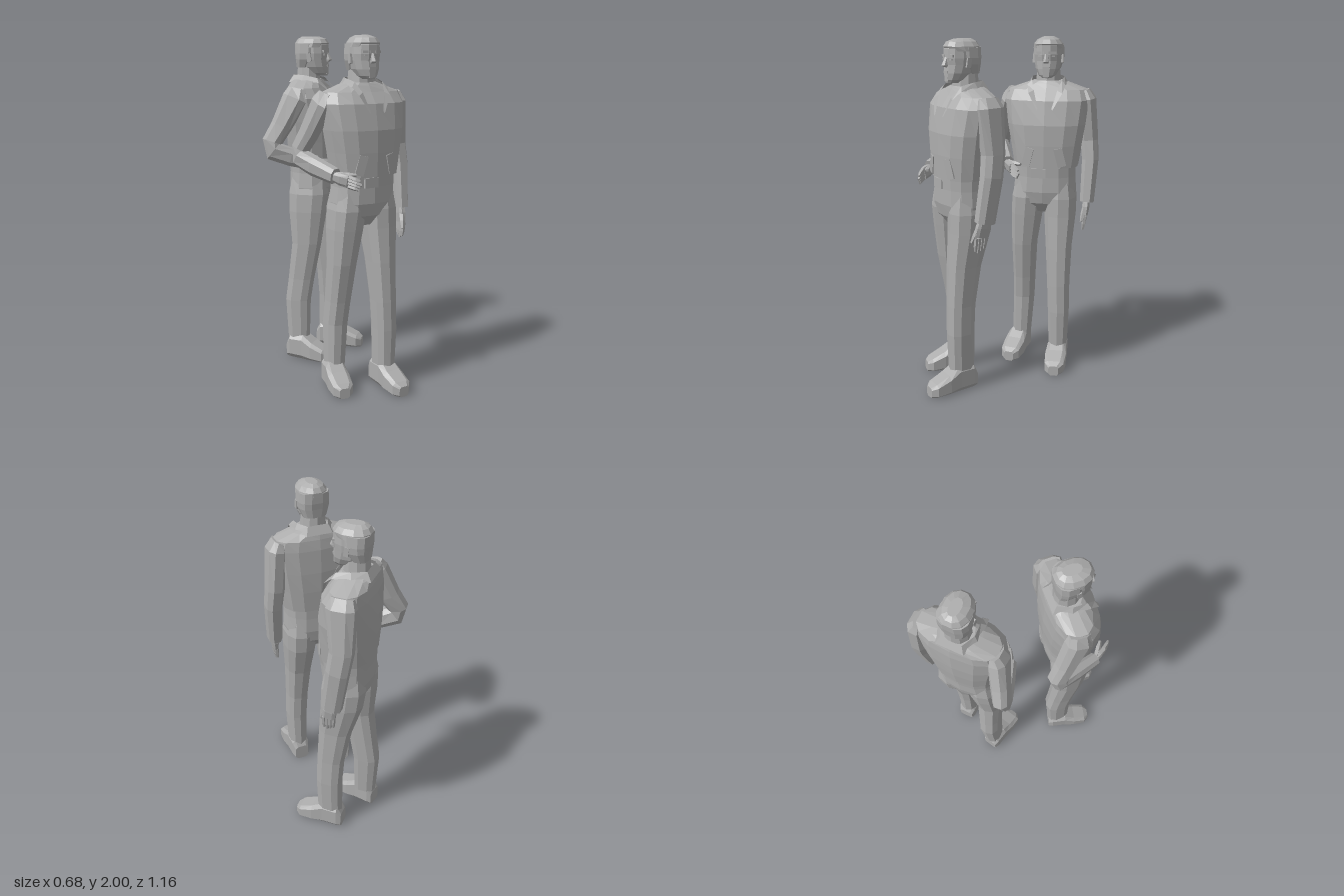
import * as THREE from 'three';

const grey = new THREE.MeshStandardMaterial({ color: 0xadadad, flatShading: true, side: THREE.DoubleSide });
grey.name = 'plain grey';

const V = (x, y, z) => new THREE.Vector3(x, y, z);

function faceted(name, points, index) {
  let geo = new THREE.BufferGeometry().setFromPoints(points);
  geo.setIndex(index);
  geo = geo.toNonIndexed();
  geo.computeVertexNormals();
  const mesh = new THREE.Mesh(geo, grey);
  mesh.name = name;
  return mesh;
}

// Closed loft through sections [x, y, z, halfWidth, halfDepth].
// Rings follow the path, or stay square to a fixed direction.
function loft(name, sections, sides = 8, power = 2.4, fixed = null) {
  const pts = [], idx = [];
  const at = i => V(...sections[Math.min(Math.max(i, 0), sections.length - 1)]);
  const shape = a => Math.sign(a) * Math.abs(a) ** (2 / power);
  const peak = shape(Math.cos(Math.PI / sides));
  sections.forEach(([x, y, z, ra, rb], i) => {
    const t = fixed ? fixed.clone() : at(i + 1).sub(at(i - 1)).normalize();
    const u = V(1, 0, 0).addScaledVector(t, -t.x).normalize();
    const v = t.clone().cross(u);
    for (let j = 0; j < sides; j++) {
      const a = (j + 0.5) / sides * Math.PI * 2;
      pts.push(V(x, y, z).addScaledVector(u, shape(Math.cos(a)) / peak * ra)
        .addScaledVector(v, shape(Math.sin(a)) / peak * rb));
    }
  });
  const last = sections.length - 1, first = pts.length;
  pts.push(at(0), at(last));
  for (let j = 0; j < sides; j++) {
    const k = (j + 1) % sides;
    for (let i = 0; i < last; i++) {
      const a = i * sides + j, b = i * sides + k;
      idx.push(a, b, a + sides, b, b + sides, a + sides);
    }
    idx.push(first, k, j, first + 1, last * sides + j, last * sides + k);
  }
  return faceted(name, pts, idx);
}

function box(name, w, h, d, x, y, z) {
  const mesh = new THREE.Mesh(new THREE.BoxGeometry(w, h, d), grey);
  mesh.name = name;
  mesh.position.set(x, y, z);
  return mesh;
}

const DOWN = V(0, -1, 0);

// Palm, four bent fingers and a thumb
function hand(name, wrist, knuckle, tip, spread, thumbTip) {
  const g = new THREE.Group();
  g.name = name;
  const w = spread.length() * 2;
  const row = (p, a, b) => [p.x, p.y, p.z, a, b];
  g.add(loft('palm', [row(wrist, 0.02, w * 0.75), row(wrist.clone().lerp(knuckle, 0.5), 0.021, w),
    row(knuckle, 0.015, w)], 8, 3));
  for (let i = -1.5; i <= 1.5; i++) {
    const off = spread.clone().multiplyScalar(i);
    const base = knuckle.clone().add(off), end = tip.clone().addScaledVector(off, 0.9);
    end.lerp(base, 0.12 * Math.abs(i - 0.5));
    const mid = base.clone().lerp(end, 0.5).addScaledVector(knuckle.clone().sub(wrist), 0.1);
    g.add(loft('finger', [row(base, 0.011, 0.01), row(mid, 0.01, 0.009), row(end, 0.006, 0.006)], 5, 2));
  }
  const root = wrist.clone().lerp(knuckle, 0.3).addScaledVector(spread, 1);
  g.add(loft('thumb', [row(root, 0.014, 0.014), row(root.clone().lerp(thumbTip, 0.6), 0.013, 0.012),
    row(thumbTip, 0.007, 0.007)], 5, 2));
  return g;
}

// Shoe pointing along +z from its heel, with a tapered toe
function shoe(name, x, z, turn, length) {
  const rows = [[0, 0.1, 0.045], [0.09, 0.15, 0.056], [0.4, 0.155, 0.058], [0.63, 0.115, 0.064],
    [0.9, 0.08, 0.058], [1, 0.06, 0.03]];
  const mesh = loft(name, rows.map(([d, h, w]) => [0, h / 2, d * length, w, h / 2]), 8, 4, V(0, 0, 1));
  mesh.position.set(x, 0, z);
  mesh.rotation.y = turn;
  return mesh;
}

// Turned-down collar running into two lapel points
function collar() {
  const top = [[0.04, 1.6, 0.15], [0.068, 1.7, 0.112], [0.088, 1.755, 0.06], [0.094, 1.772, -0.02],
    [0.06, 1.775, -0.095]];
  const low = [[0.046, 1.59, 0.155], [0.098, 1.685, 0.125], [0.112, 1.728, 0.075], [0.116, 1.735, -0.03],
    [0.078, 1.728, -0.122]];
  const mirror = list => [...list, ...[...list].reverse().map(([x, y, z]) => [-x, y, z])];
  const a = mirror(top), b = mirror(low), n = a.length, idx = [];
  for (let i = 0; i < n - 1; i++) idx.push(i, i + 1, n + i, i + 1, n + i + 1, n + i);
  return faceted('collar', [...a, ...b].map(p => V(...p)), idx);
}

function head() {
  const g = new THREE.Group();
  g.name = 'head';
  g.add(loft('face', [[0, 1.985, 0, 0.055, 0.075], [0, 1.95, 0.004, 0.076, 0.097], [0, 1.9, 0.006, 0.079, 0.097],
    [0, 1.865, 0.008, 0.076, 0.09], [0, 1.82, 0.02, 0.068, 0.082], [0, 1.785, 0.038, 0.05, 0.064],
    [0, 1.768, 0.055, 0.028, 0.042]], 12, 2.3, DOWN));
  // hair: crown and the sides and back running to the nape
  g.add(loft('hairCrown', [[0, 2, -0.005, 0.03, 0.05], [0, 1.985, 0.004, 0.062, 0.084],
    [0, 1.96, 0.004, 0.081, 0.1], [0, 1.935, -0.004, 0.085, 0.092]], 12, 2.2, DOWN));
  g.add(loft('hairBack', [[0, 1.955, -0.02, 0.084, 0.076], [0, 1.9, -0.022, 0.088, 0.073],
    [0, 1.865, -0.026, 0.085, 0.065], [0, 1.815, -0.042, 0.066, 0.045]], 12, 2.6, DOWN));
  g.add(loft('nose', [[0, 1.905, 0.095, 0.009, 0.01], [0, 1.862, 0.106, 0.015, 0.02],
    [0, 1.852, 0.1, 0.014, 0.012]], 6, 2, DOWN));
  g.add(box('lips', 0.042, 0.012, 0.012, 0, 1.826, 0.099));
  g.add(box('chin', 0.036, 0.022, 0.016, 0, 1.787, 0.094));
  for (const s of [-1, 1]) {
    const brow = box('brow', 0.045, 0.013, 0.014, s * 0.034, 1.912, 0.092);
    brow.rotation.y = s * 0.25;
    const eye = box('eye', 0.026, 0.009, 0.006, s * 0.035, 1.893, 0.094);
    eye.rotation.y = s * 0.25;
    const ear = box('ear', 0.014, 0.05, 0.026, s * 0.083, 1.875, 0.008);
    ear.rotation.x = -0.15;
    g.add(brow, eye, ear);
  }
  return g;
}

function man(name) {
  const g = new THREE.Group();
  g.name = name;
  g.add(head(), collar());
  g.add(loft('neck', [[0, 1.84, -0.02, 0.062, 0.062], [0, 1.7, -0.02, 0.075, 0.075]], 10, 2, DOWN));

  // jacket body with square shoulders
  g.add(loft('jacket', [[0, 1.75, -0.025, 0.085, 0.08], [0, 1.735, -0.025, 0.13, 0.09],
    [0, 1.7, -0.018, 0.228, 0.105], [0, 1.64, 0, 0.246, 0.131], [0, 1.5, 0.01, 0.229, 0.147],
    [0, 1.38, 0.012, 0.208, 0.147], [0, 1.25, 0.014, 0.188, 0.141]], 14, 2.5, DOWN));
  for (const s of [-1, 1]) {
    const flap = box('pocketFlap', 0.05, 0.11, 0.008, s * 0.095, 1.315, 0.148);
    flap.rotation.set(0.04, s * 0.22, s * 0.25);
    g.add(flap);
  }

  // trousers, belt and buckle
  g.add(loft('belt', [[-0.005, 1.255, 0.012, 0.178, 0.134], [-0.005, 1.19, 0.012, 0.178, 0.132]], 14, 2.5, DOWN));
  g.add(box('buckle', 0.085, 0.055, 0.012, -0.03, 1.217, 0.145));
  g.add(loft('hips', [[-0.005, 1.2, 0.012, 0.176, 0.13], [-0.007, 1.1, 0.012, 0.185, 0.132],
    [-0.009, 1.03, 0.009, 0.18, 0.12], [-0.01, 0.97, 0.01, 0.13, 0.075]], 14, 2.5, DOWN));
  g.add(loft('leftLeg', [[0.088, 1.16, 0.012, 0.075, 0.108], [0.088, 1.06, 0.013, 0.094, 0.124],
    [0.09, 0.95, 0.022, 0.091, 0.119], [0.09, 0.75, 0.06, 0.075, 0.095], [0.095, 0.52, 0.087, 0.065, 0.08],
    [0.1, 0.35, 0.095, 0.062, 0.077], [0.1, 0.11, 0.092, 0.054, 0.073]], 10, 2.5, DOWN));
  g.add(loft('rightLeg', [[-0.102, 1.16, 0.012, 0.075, 0.108], [-0.106, 1.06, 0.009, 0.094, 0.122],
    [-0.115, 0.95, 0.004, 0.09, 0.114], [-0.13, 0.75, 0, 0.074, 0.09], [-0.135, 0.52, -0.035, 0.065, 0.08],
    [-0.14, 0.38, -0.055, 0.063, 0.078], [-0.15, 0.11, -0.048, 0.053, 0.066]], 10, 2.5, DOWN));
  g.add(shoe('leftShoe', 0.1, 0.008, 0, 0.3));
  g.add(shoe('rightShoe', -0.147, -0.113, -0.2, 0.28));

  // hanging left arm
  g.add(loft('leftSleeve', [[0.215, 1.695, -0.025, 0.028, 0.058], [0.23, 1.645, -0.025, 0.05, 0.078],
    [0.25, 1.4, -0.035, 0.05, 0.062], [0.26, 1.28, -0.018, 0.047, 0.06], [0.25, 1.03, 0.02, 0.04, 0.055]], 8, 2.6));
  g.add(hand('leftHand', V(0.248, 1.05, 0.025), V(0.243, 0.95, 0.042), V(0.232, 0.86, 0.045),
    V(0, 0, 0.019), V(0.225, 0.92, 0.09)));

  // bent right arm, elbow drawn back
  g.add(loft('rightSleeve', [[-0.213, 1.695, -0.025, 0.028, 0.055], [-0.23, 1.64, -0.035, 0.05, 0.072],
    [-0.27, 1.48, -0.11, 0.048, 0.058], [-0.298, 1.39, -0.158, 0.044, 0.055],
    [-0.305, 1.338, -0.148, 0.041, 0.056], [-0.275, 1.302, -0.05, 0.04, 0.052],
    [-0.225, 1.262, 0.09, 0.036, 0.042]], 8, 2.6));
  g.add(hand('rightHand', V(-0.228, 1.26, 0.08), V(-0.185, 1.24, 0.16), V(-0.135, 1.215, 0.215),
    V(0, 0.017, 0), V(-0.135, 1.27, 0.16)));
  return g;
}

export function createModel() {
  const model = new THREE.Group();
  model.name = 'twoStandingMen';
  const front = man('frontMan');
  front.position.set(0.033, 0, 0.264);
  const rear = man('rearMan');
  rear.position.set(0.04, 0, -0.32);
  rear.rotation.y = Math.PI / 4;
  model.add(front, rear);
  return model;
}
